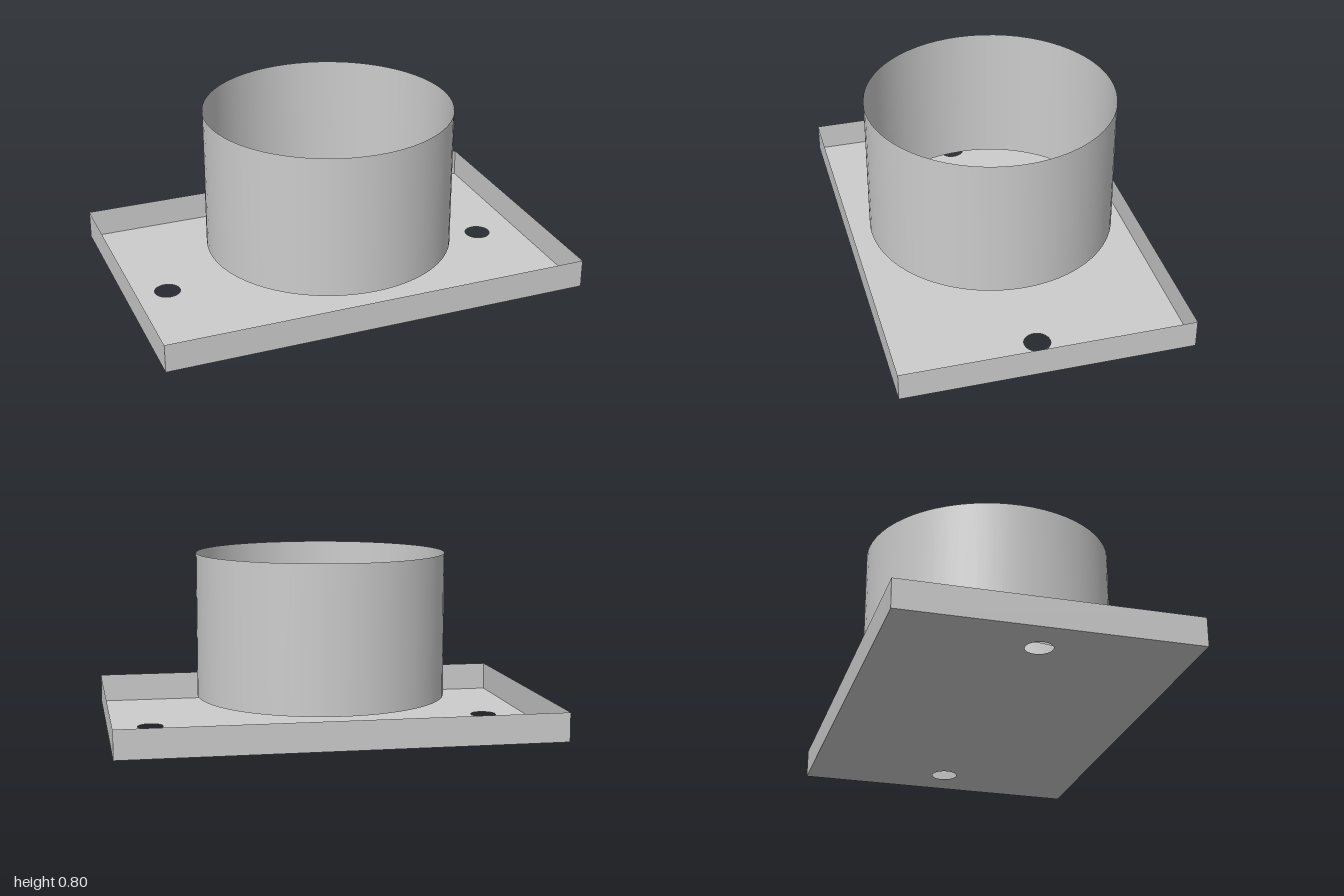
import * as THREE from 'three';

const WIDTH = 2, DEPTH = 1.333, RIM = 0.133;
const HOLE_X = 0.8, HOLE_R = 0.06;
const COLLAR_R = 0.577, TOP = 0.8;

export function createModel() {
  const model = new THREE.Group();
  const metal = new THREE.MeshStandardMaterial({ color: 0xcccccc, side: THREE.DoubleSide });
  metal.name = 'sheetMetal';

  const add = (name, geometry, x, y, z) => {
    const mesh = new THREE.Mesh(geometry, metal);
    mesh.name = name;
    mesh.position.set(x, y, z);
    model.add(mesh);
    return mesh;
  };

  // Tray floor: a thin sheet with two bolt holes
  const outline = new THREE.Shape([
    new THREE.Vector2(-WIDTH / 2, -DEPTH / 2),
    new THREE.Vector2(WIDTH / 2, -DEPTH / 2),
    new THREE.Vector2(WIDTH / 2, DEPTH / 2),
    new THREE.Vector2(-WIDTH / 2, DEPTH / 2),
  ]);
  for (const side of [-1, 1]) {
    outline.holes.push(new THREE.Path().absarc(side * HOLE_X, 0, HOLE_R, 0, Math.PI * 2, true));
  }
  add('trayFloor', new THREE.ShapeGeometry(outline, 24).rotateX(-Math.PI / 2), 0, 0, 0);

  // Upright rim sheets around the tray
  for (const side of [-1, 1]) {
    const turn = side > 0 ? 0 : Math.PI;
    add(side > 0 ? 'frontRim' : 'backRim',
      new THREE.PlaneGeometry(WIDTH, RIM), 0, RIM / 2, side * DEPTH / 2).rotation.y = turn;
    add(side > 0 ? 'leftRim' : 'rightRim',
      new THREE.PlaneGeometry(DEPTH, RIM), side * WIDTH / 2, RIM / 2, 0).rotation.y = side * Math.PI / 2;
  }

  // Open round collar, starting level with the top of the rim
  add('collar', new THREE.CylinderGeometry(COLLAR_R, COLLAR_R, TOP - RIM, 64, 1, true),
    0, (TOP + RIM) / 2, 0);

  return model;
}
